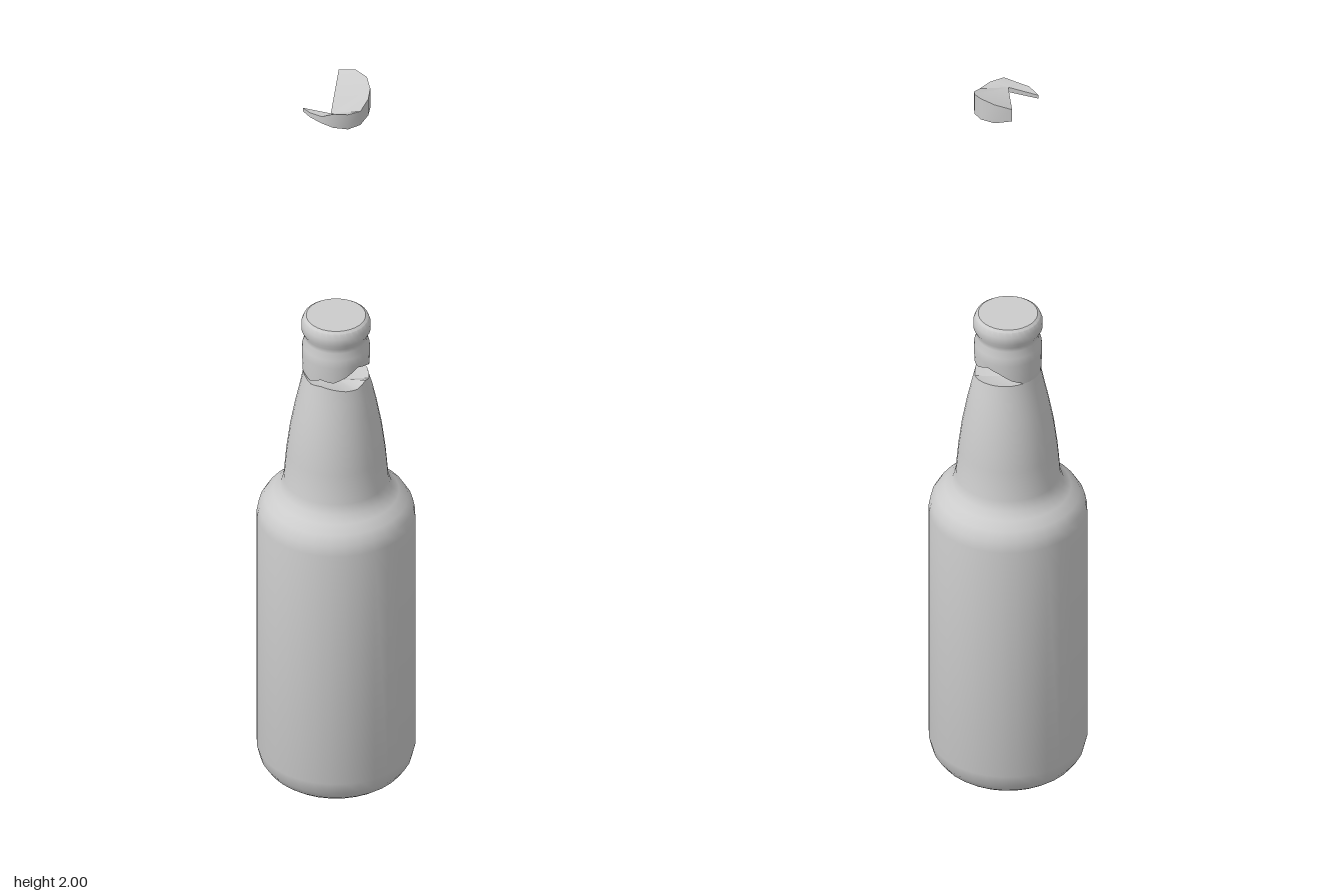
import * as THREE from 'three';
import { toCreasedNormals } from 'three/addons/utils/BufferGeometryUtils.js';

const material = new THREE.MeshStandardMaterial({ color: 0xcccccc, side: THREE.DoubleSide });
const SEGMENTS = 32;

// Heights of the two jagged break edges, every 22.5 degrees from the front (+z) towards +x
const LOWER_EDGE = [1.155, 1.148, 1.145, 1.155, 1.142, 1.15, 1.155, 1.158, 1.16, 1.162, 1.162, 1.162, 1.16, 1.163, 1.155, 1.16];
const UPPER_EDGE = [1.175, 1.19, 1.21, 1.2, 1.185, 1.19, 1.205, 1.195, 1.175, 1.162, 1.162, 1.162, 1.165, 1.17, 1.165, 1.18];

function edgeHeight(table, angle) {
  const t = (angle / (Math.PI * 2)) * table.length;
  const i = Math.floor(t + 1e-6);
  return THREE.MathUtils.lerp(table[i % table.length], table[(i + 1) % table.length], t - i);
}

// Turned part with one profile ring moved onto a jagged break edge
function brokenLathe(name, profile, ring, table) {
  const geometry = new THREE.LatheGeometry(profile.map(([r, y]) => new THREE.Vector2(r, y)), SEGMENTS);
  const pos = geometry.attributes.position;
  for (let i = 0; i <= SEGMENTS; i++) {
    pos.setY(i * profile.length + ring, edgeHeight(table, (i / SEGMENTS) * Math.PI * 2));
  }
  const mesh = new THREE.Mesh(toCreasedNormals(geometry, 0.6), material);
  mesh.name = name;
  return mesh;
}

// Curved fragment: an outer wall along an arc, closed by fans above and below
function createShard() {
  // angle in degrees, lower height, upper height
  const arc = [
    [-70, 1.938, 1.948], [-45, 1.942, 1.955], [-20, 1.938, 1.958], [0, 1.93, 1.97],
    [25, 1.922, 1.965], [50, 1.922, 1.962], [75, 1.93, 1.978], [95, 1.932, 1.99],
    [120, 1.938, 2.0], [150, 1.945, 2.0], [180, 1.955, 1.99],
  ];
  const points = [];
  for (const [deg, low, high] of arc) {
    const a = THREE.MathUtils.degToRad(deg);
    const x = 0.084 * Math.sin(a), z = 0.084 * Math.cos(a);
    points.push(x, low, z, x, high, z);
  }
  // Inner pivot on the fractured face
  points.push(-0.008, 1.942, 0.06, -0.008, 1.956, 0.06);
  const n = arc.length, index = [];
  for (let i = 0; i <= n; i++) {
    const a = i * 2, b = ((i + 1) % (n + 1)) * 2;
    index.push(a, b, b + 1, a, b + 1, a + 1);
  }
  for (let i = 0; i < n - 1; i++) {
    const a = i * 2, b = a + 2, c = n * 2;
    index.push(c + 1, a + 1, b + 1, c, b, a);
  }
  const geometry = new THREE.BufferGeometry();
  geometry.setAttribute('position', new THREE.Float32BufferAttribute(points, 3));
  geometry.setIndex(index);
  const mesh = new THREE.Mesh(toCreasedNormals(geometry, 0.6), material);
  mesh.name = 'flyingShard';
  return mesh;
}

export function createModel() {
  const model = new THREE.Group();
  model.name = 'brokenBottle';

  // Body, shoulder and tapering neck up to the break
  const body = [
    [0, 0.012], [0.125, 0.012], [0.135, 0], [0.157, 0.003], [0.172, 0.015], [0.187, 0.037], [0.195, 0.07],
    [0.195, 0.74], [0.19, 0.767], [0.176, 0.79], [0.155, 0.808], [0.137, 0.825], [0.129, 0.85],
    [0.122, 0.93], [0.113, 1.0], [0.1, 1.07], [0.09, 1.115], [0.081, 1.155], [0, 1.135],
  ];
  model.add(brokenLathe('bottleBody', body, body.length - 2, LOWER_EDGE));

  // Snapped-off mouth with collar and capped lip
  const mouth = [
    [0, 1.195], [0.082, 1.175], [0.084, 1.22], [0.083, 1.242], [0.077, 1.26], [0.078, 1.272],
    [0.085, 1.285], [0.085, 1.305], [0.08, 1.318], [0.073, 1.323], [0, 1.323],
  ];
  model.add(brokenLathe('bottleMouth', mouth, 1, UPPER_EDGE));

  model.add(createShard());
  return model;
}
